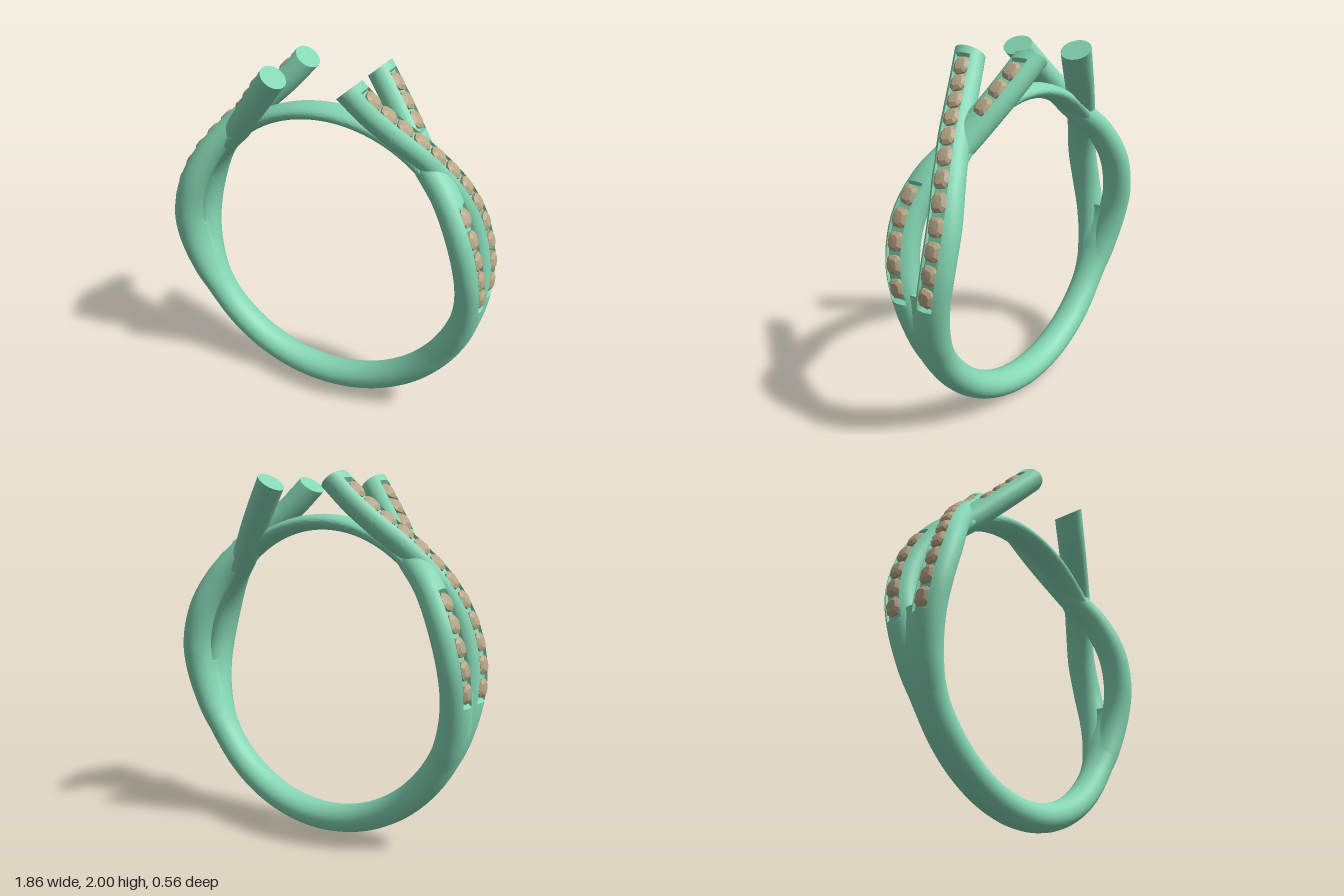
import * as THREE from 'three';
import { toCreasedNormals } from 'three/addons/utils/BufferGeometryUtils.js';

const CY = 0.93; // height of the ring centre
const metal = new THREE.MeshStandardMaterial({ color: 0x84d6b4 });
const stone = new THREE.MeshStandardMaterial({ color: 0xb8a888, flatShading: true });
const { smoothstep, degToRad } = THREE.MathUtils;

// Section angles, measured from the outward direction; the first few span the stone channel
const EDGE = Math.asin(0.046 / 0.09);
const section = [-EDGE, -EDGE + 0.01, -0.27, 0, 0.27, EDGE - 0.01, EDGE].map((a, i) => ({ a, floor: i > 0 && i < 6 }));
for (let i = 1; i < 30; i++) section.push({ a: EDGE + (i / 30) * (2 * Math.PI - 2 * EDGE), floor: false });

// Outward direction across the path, kept in the plane of the ring
const outward = (t) => new THREE.Vector3(-t.y, t.x, 0).normalize();

// Sweep an oval along a clockwise curve; size(u) gives radial and sideways half-widths and channel depth
function sweep(curve, steps, size) {
  const pos = [], index = [], K = section.length;
  for (let i = 0; i <= steps; i++) {
    const u = i / steps, p = curve.getPointAt(u), n = outward(curve.getTangentAt(u));
    const { hr, hz, channel = 0 } = size(u);
    for (const { a, floor } of section) {
      const out = hr * Math.cos(a);
      const d = floor ? THREE.MathUtils.lerp(out, hr * 0.64, channel) : out;
      pos.push(p.x + n.x * d, p.y + n.y * d, p.z + hz * Math.sin(a));
    }
  }
  for (let i = 0; i < steps; i++) {
    for (let j = 0; j < K; j++) {
      const a = i * K + j, b = i * K + (j + 1) % K;
      index.push(a, b, b + K, a, b + K, a + K);
    }
  }
  // Flat end caps
  for (const end of [0, 1]) {
    const c = curve.getPointAt(end), ci = pos.length / 3, base = end * steps * K;
    pos.push(c.x, c.y, c.z);
    for (let j = 0; j < K; j++) {
      const a = base + j, b = base + (j + 1) % K;
      if (end) index.push(ci, a, b); else index.push(ci, b, a);
    }
  }
  const geo = new THREE.BufferGeometry();
  geo.setAttribute('position', new THREE.Float32BufferAttribute(pos, 3));
  geo.setIndex(index);
  return toCreasedNormals(geo, 0.6);
}

// Clockwise arc about the ring centre, angles in degrees
function arc(r, from, to) {
  const pts = [];
  for (let i = 0; i <= 48; i++) {
    const a = degToRad(from + (to - from) * i / 48);
    pts.push(new THREE.Vector3(r * Math.cos(a), CY + r * Math.sin(a), 0));
  }
  return new THREE.CatmullRomCurve3(pts);
}

function mesh(name, geo, mat) {
  const m = new THREE.Mesh(geo, mat);
  m.name = name;
  return m;
}

// Faceted cushion-cut stone
function stoneGeometry() {
  const profile = [[0, -0.03], [0.041, -0.014], [0.043, 0.002], [0.027, 0.015], [0, 0.017]];
  const geo = new THREE.LatheGeometry(profile.map(([x, y]) => new THREE.Vector2(x, y)), 12);
  const p = geo.attributes.position;
  for (let i = 0; i < p.count; i++) {
    const x = p.getX(i), z = p.getZ(i), r = Math.hypot(x, z);
    if (r < 1e-6) continue;
    const k = r / Math.pow(x ** 4 + z ** 4, 0.25); // push the round outline towards a square
    p.setX(i, x * k * 0.98);
    p.setZ(i, z * k * 1.12);
  }
  geo.computeVertexNormals();
  return geo;
}

// One strand with its channel and stones; the lower one dips beneath the crossing
function strand(lower, gemGeo) {
  const group = new THREE.Group();
  group.name = lower ? 'lowerStrand' : 'upperStrand';
  const dip = [0, 0, 0.012, 0.035, 0.012];
  const path = [
    [0.205, 1.952, 0.19], [0.30, 1.84, 0.145], [0.40, 1.74, 0.095], [0.55, 1.60, 0.015],
    [0.69, 1.43, -0.065], [0.785, 1.245, -0.113], [0.845, 1.03, -0.112], [0.85, 0.85, -0.08],
    [0.81, 0.66, -0.04], [0.74, 0.50, -0.012], [0.66, 0.39, 0],
  ].map(([x, y, z], i) => {
    const k = lower ? 1 - (dip[i] || 0) / Math.hypot(x, y - CY) : 1;
    return new THREE.Vector3(x * k, CY + (y - CY) * k, lower ? -z : z);
  });
  const curve = new THREE.CatmullRomCurve3(path);
  curve.arcLengthDivisions = 600;
  const L = curve.getLength();

  // Stones run from just below the tip to where the strands join
  const first = 0.115 / L;
  let last = first;
  while (curve.getPointAt(last).y > 0.917) last += 0.002;
  const pitch = (last - first) / 11;
  const runs = lower ? [[0, 2], [7, 11]] : [[0, 11]];
  const inChannel = (u) => runs.some(([a, b]) => u > first + (a - 0.56) * pitch && u < first + (b + 0.56) * pitch);

  group.add(mesh('strandBand', sweep(curve, 170, (u) => ({
    hr: 0.07 + 0.005 * smoothstep(u, 0.3, 0.55) - 0.012 * smoothstep(u, 0.85, 1),
    hz: 0.09 - 0.012 * smoothstep(u, 0.85, 1),
    channel: inChannel(u) ? 1 : 0,
  })), metal));

  for (const [a, b] of runs) {
    for (let i = a; i <= b; i++) {
      const u = first + i * pitch, t = curve.getTangentAt(u), n = outward(t);
      const gem = mesh('stone', gemGeo, stone);
      gem.quaternion.setFromRotationMatrix(new THREE.Matrix4().makeBasis(n.clone().cross(t), n, t));
      gem.position.copy(curve.getPointAt(u)).addScaledVector(n, 0.057 + 0.005 * smoothstep(u, 0.3, 0.55));
      group.add(gem);
    }
  }
  return group;
}

export function createModel() {
  const model = new THREE.Group();
  model.name = 'splitBandRing';

  // Lower band, widening where it divides into strands
  const from = -2, to = -178;
  model.add(mesh('shank', sweep(arc(0.8525, from, to), 120, (u) => {
    const a = Math.min(u, 1 - u) * (from - to) + 2; // degrees below horizontal
    return {
      hr: 0.05 + 0.0275 * smoothstep(a, 2, 20),
      hz: 0.09 + 0.055 * (1 - smoothstep(a, 6, 38)),
    };
  }), metal));

  // Thin bridge closing the circle under the open tips
  model.add(mesh('bridge', sweep(arc(0.8135, 138, 42), 60, () => ({ hr: 0.0425, hz: 0.088 })), metal));

  // Crossing strands, repeated by a half turn
  const gemGeo = stoneGeometry();
  const side = new THREE.Group();
  side.name = 'leftShoulder';
  side.add(strand(false, gemGeo), strand(true, gemGeo));
  const other = side.clone();
  other.name = 'rightShoulder';
  other.rotation.y = Math.PI;
  model.add(side, other);
  return model;
}
